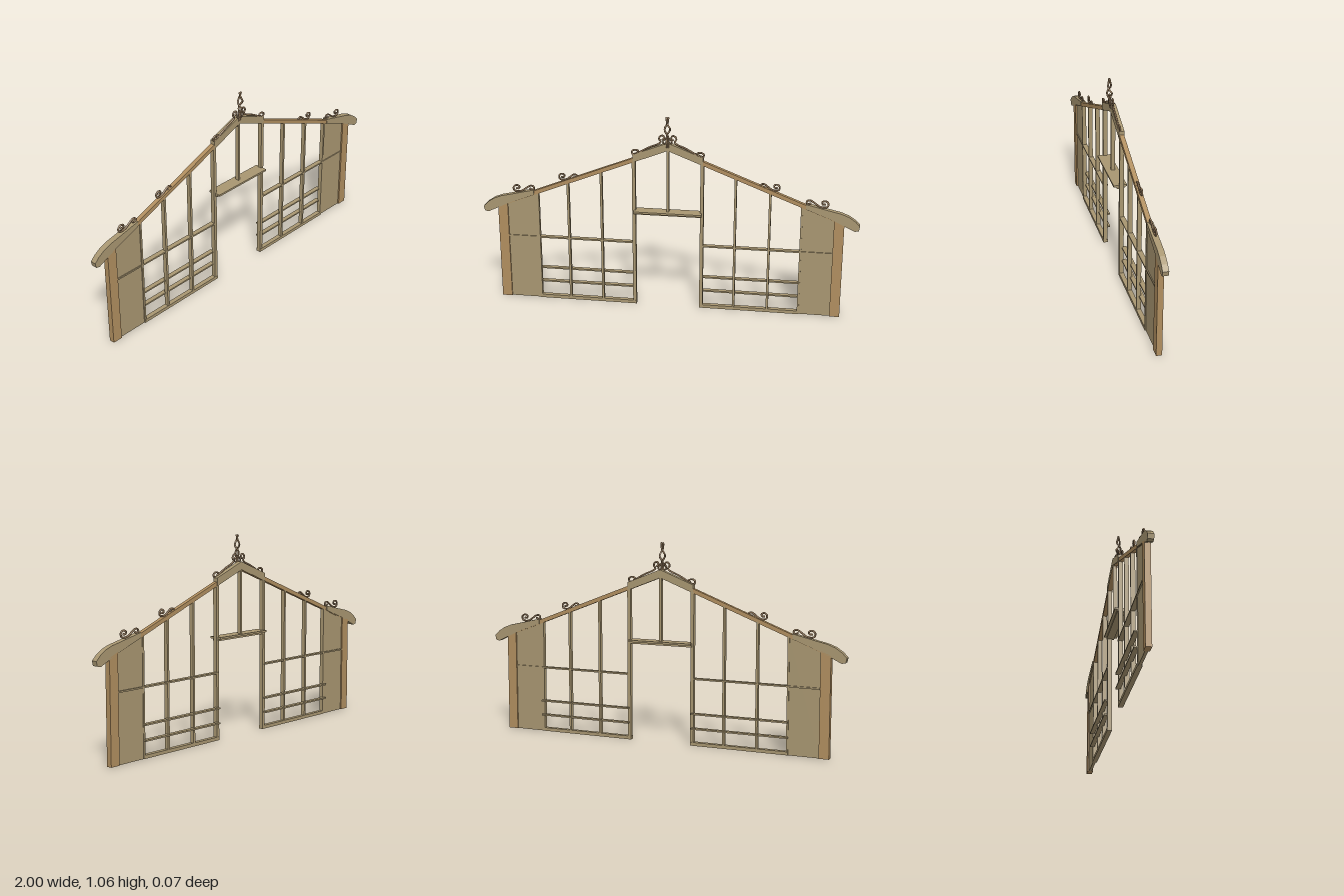
import * as THREE from 'three';

const SLOPE = 0.39;

export function createModel() {
  const model = new THREE.Group();
  const mat = (name, color) => {
    const m = new THREE.MeshStandardMaterial({ color });
    m.name = name;
    return m;
  };
  const wood = mat('tan wood', 0xa89671);
  const timber = mat('warm timber', 0xb08e5f);
  const iron = mat('brown scrollwork', 0x94795a);

  const add = (parent, name, geo, material) => {
    const mesh = new THREE.Mesh(geo, material);
    mesh.name = name;
    parent.add(mesh);
    return mesh;
  };

  // Box given by its limits on each axis
  const bar = (parent, name, x0, x1, y0, y1, z0, z1, material = wood) => {
    const g = new THREE.BoxGeometry(x1 - x0, y1 - y0, z1 - z0);
    g.translate((x0 + x1) / 2, (y0 + y1) / 2, (z0 + z1) / 2);
    return add(parent, name, g, material);
  };

  // Outline in the facade plane, extruded from z0 to z1; side mirrors it
  const slab = (parent, name, pts, side, z0, z1, material = wood) => {
    const shape = new THREE.Shape(pts.map(([x, y]) => new THREE.Vector2(x * side, y)));
    const g = new THREE.ExtrudeGeometry(shape, { depth: z1 - z0, bevelEnabled: false });
    g.translate(0, 0, z0);
    return add(parent, name, g, material);
  };

  // Round bar through a few points
  const tube = (parent, name, pts, radius, segments = 60) => {
    const curve = new THREE.CatmullRomCurve3(pts.map(([x, y, z = 0]) => new THREE.Vector3(x, y, z)));
    const mesh = add(parent, name, new THREE.TubeGeometry(curve, segments, radius, 6), iron);
    for (const p of [pts[0], pts[pts.length - 1]]) {
      const cap = new THREE.SphereGeometry(radius * 1.15, 8, 6);
      cap.translate(p[0], p[1], p[2] || 0);
      add(parent, name + 'End', cap, iron);
    }
    return mesh;
  };

  const roofY = (x, ridge) => ridge - SLOPE * x;

  // S-shaped scroll of unit length, placed along the roof slope
  const SCROLL = [[-0.3, 0.14], [-0.38, 0.06], [-0.48, 0.13], [-0.46, 0.27], [-0.32, 0.32],
    [-0.1, 0.18], [0.1, 0.04], [0.3, 0.01], [0.47, 0.1], [0.48, 0.32], [0.34, 0.43],
    [0.2, 0.34], [0.23, 0.2], [0.34, 0.21]];
  const scroll = (parent, side, x, y, size, height, angle) => {
    const c = Math.cos(angle), s = Math.sin(angle);
    const pts = SCROLL.map(([u, v]) => {
      const a = u * size, b = v * height;
      return [side * (x + a * c - b * s), y + a * s + b * c, -0.005];
    });
    tube(parent, 'roofScroll', pts, 0.005);
  };

  for (const side of [1, -1]) {
    const half = new THREE.Group();
    half.name = side > 0 ? 'leftHalf' : 'rightHalf';
    model.add(half);
    const span = (name, a, b, ...rest) =>
      bar(half, name, side > 0 ? a : -b, side > 0 ? b : -a, ...rest);

    // Roof edge: slim rafter, thick ridge board and curved eave
    slab(half, 'rafter', [[0, 0.877], [0.87, roofY(0.87, 0.877)],
      [0.87, roofY(0.87, 0.9)], [0, 0.9]], side, -0.017, 0.007, timber);
    slab(half, 'ridgeBoard', [[0, 0.878], [0.185, roofY(0.185, 0.878)],
      [0.185, roofY(0.185, 0.92)], [0, 0.92]], side, -0.019, 0.009);
    slab(half, 'eave', [[0.72, 0.598], [0.86, 0.545], [0.975, 0.49], [0.995, 0.495], [1, 0.52],
      [0.975, 0.545], [0.94, 0.568], [0.9, 0.583], [0.86, 0.592], [0.72, 0.625]], side, -0.021, 0.01);

    // Solid side panel and corner post
    slab(half, 'sidePanel', [[0.7, 0], [0.87, 0], [0.87, roofY(0.87, 0.888)],
      [0.7, roofY(0.7, 0.888)]], side, -0.014, 0.001);
    slab(half, 'cornerPost', [[0.867, 0], [0.92, 0], [0.92, 0.525], [0.867, 0.549]],
      side, -0.021, 0.009, timber);

    // Uprights cut to the slope of the roof
    for (const [x, w] of [[0.18, 0.018], [0.355, 0.012], [0.535, 0.012], [0.7, 0.01]]) {
      const a = x - w / 2, b = x + w / 2;
      slab(half, x === 0.18 ? 'doorJamb' : 'mullion', [[a, 0], [b, 0],
        [b, roofY(b, 0.885)], [a, roofY(a, 0.885)]], side, -0.017, 0.006);
    }

    // Sill, middle rail and rear slats
    span('sill', 0.17, 0.7, 0, 0.018, -0.018, 0.007);
    span('middleRail', 0.18, 0.866, 0.352, 0.36, -0.021, 0.006);
    for (const y of [0.093, 0.172]) span('slat', 0.18, 0.705, y - 0.004, y + 0.004, -0.033, -0.008);

    // Scrolls resting on the roof edge
    scroll(half, side, 0.775, 0.612, 0.115, 0.085, -0.12);
    scroll(half, side, 0.53, 0.69, 0.1, 0.08, -0.12);

    // Long scroll along the ridge board, curled at both ends
    tube(half, 'ridgeScroll', [[0.026, 0.937], [0.018, 0.945], [0.024, 0.957], [0.038, 0.955],
      [0.045, 0.94], [0.036, 0.925], [0.05, 0.912], [0.09, 0.895], [0.13, 0.874], [0.165, 0.853],
      [0.185, 0.852], [0.187, 0.867], [0.17, 0.875], [0.152, 0.868], [0.16, 0.86]]
      .map(([x, y]) => [side * x, y, 0.004]), 0.005, 70);
    // Small curl clasping the finial
    tube(half, 'finialCurl', [[0.003, 0.925], [0.014, 0.918], [0.024, 0.926], [0.016, 0.937], [0.006, 0.95]]
      .map(([x, y]) => [side * x, y, 0.012]), 0.004, 24);

    // Finial strand, twisted around its partner
    const strand = [[0, 0.845, 0], [side * 0.004, 0.88, 0.001], [side * 0.004, 0.91, 0.01]];
    for (let i = 0; i <= 14; i++) {
      const t = i / 14, a = t * Math.PI * 2.1;
      const r = 0.005 + 0.009 * Math.sin(Math.PI * Math.min(1, t * 1.1)) ** 2;
      const wide = side * r;
      strand.push([wide * Math.cos(a * 0.95), 0.94 + t * 0.115, 0.013 + wide * Math.sin(a * 0.95)]);
    }
    tube(half, 'finialStrand', strand, 0.005);
  }

  // Door head: frame bar, projecting shelf and centre mullion
  bar(model, 'lintel', -0.18, 0.18, 0.522, 0.533, -0.022, 0.018);
  bar(model, 'doorShelf', -0.18, 0.18, 0.532, 0.542, -0.035, 0.035);
  bar(model, 'centreMullion', -0.006, 0.006, 0.54, 0.885, -0.016, 0.006);

  return model;
}
